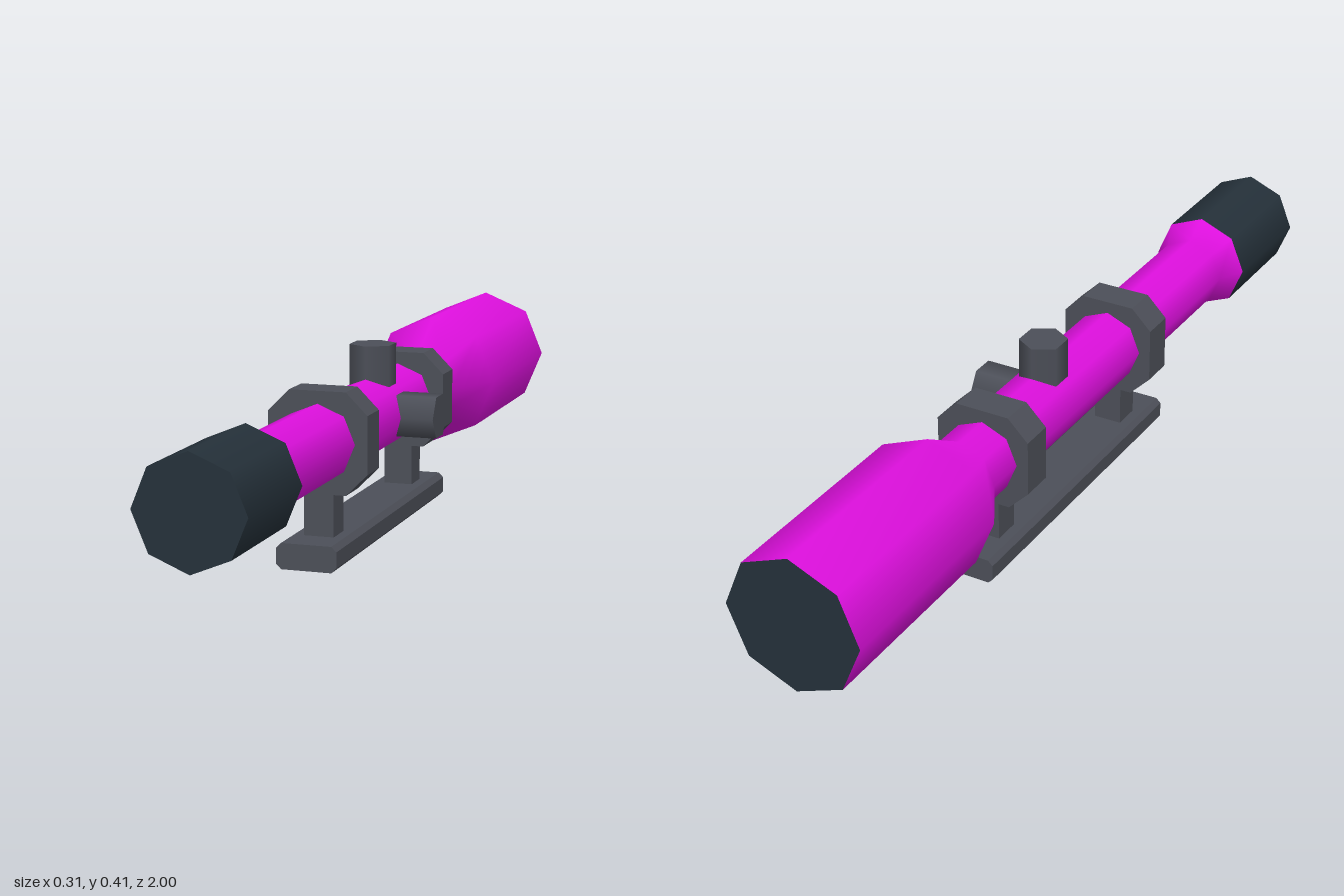
import * as THREE from 'three';

const AXIS_X = -0.002, AXIS_Y = 0.257;

// Rectangle with cut corners, extruded along z and centred on z = 0
function chamferedBar(halfW, halfH, cut, depth) {
  const pts = [
    [halfW - cut, -halfH], [halfW, -halfH + cut], [halfW, halfH - cut], [halfW - cut, halfH],
    [-halfW + cut, halfH], [-halfW, halfH - cut], [-halfW, -halfH + cut], [-halfW + cut, -halfH],
  ].map(([x, y]) => new THREE.Vector2(x, y));
  const geo = new THREE.ExtrudeGeometry(new THREE.Shape(pts), { depth, bevelEnabled: false });
  return geo.translate(0, 0, -depth / 2);
}

export function createModel() {
  const group = new THREE.Group();
  const magenta = new THREE.MeshStandardMaterial({ color: 0xe010e0 });
  magenta.name = 'magenta';
  const dark = new THREE.MeshStandardMaterial({ color: 0x25313a });
  dark.name = 'darkSlate';
  const grey = new THREE.MeshStandardMaterial({ color: 0x4c4f58 });
  grey.name = 'grey';

  const add = (name, geo, mat, x, y, z) => {
    const mesh = new THREE.Mesh(geo, mat);
    mesh.name = name;
    mesh.position.set(x, y, z);
    group.add(mesh);
    return mesh;
  };

  // Main tube with flared ends, eight-sided and smooth shaded
  const profile = [[0.152, -1], [0.152, -0.52], [0.082, -0.4], [0.082, 0.66], [0.114, 0.72]]
    .map(([r, z]) => new THREE.Vector2(r, z));
  add('tube', new THREE.LatheGeometry(profile, 8).rotateX(Math.PI / 2), magenta, AXIS_X, AXIS_Y, 0);

  // Lens closing the wide end, and the eyepiece at the front
  add('objectiveLens', new THREE.CircleGeometry(0.152, 8).rotateY(Math.PI), dark, AXIS_X, AXIS_Y, -1);
  add('eyepiece', new THREE.CylinderGeometry(0.114, 0.114, 0.28, 8).rotateX(Math.PI / 2),
    dark, AXIS_X, AXIS_Y, 0.86);

  // Adjustment turrets on top and on the left side
  const turret = () => new THREE.CylinderGeometry(0.053, 0.053, 0.1, 6);
  add('topTurret', turret(), grey, AXIS_X, 0.362, -0.053);
  add('sideTurret', turret().rotateZ(-Math.PI / 2), grey, 0.103, AXIS_Y, -0.053);

  // Mounting rings and their posts
  for (const [side, z] of [['front', 0.277], ['rear', -0.273]]) {
    add(side + 'Ring', chamferedBar(0.109, 0.109, 0.047, 0.076), grey, AXIS_X, AXIS_Y, z);
    add(side + 'Post', new THREE.BoxGeometry(0.066, 0.12, 0.064), grey, AXIS_X, 0.105, z);
  }

  // Mounting rail
  add('rail', chamferedBar(0.066, 0.028, 0.011, 0.776), grey, AXIS_X, 0.028, 0);
  return group;
}
